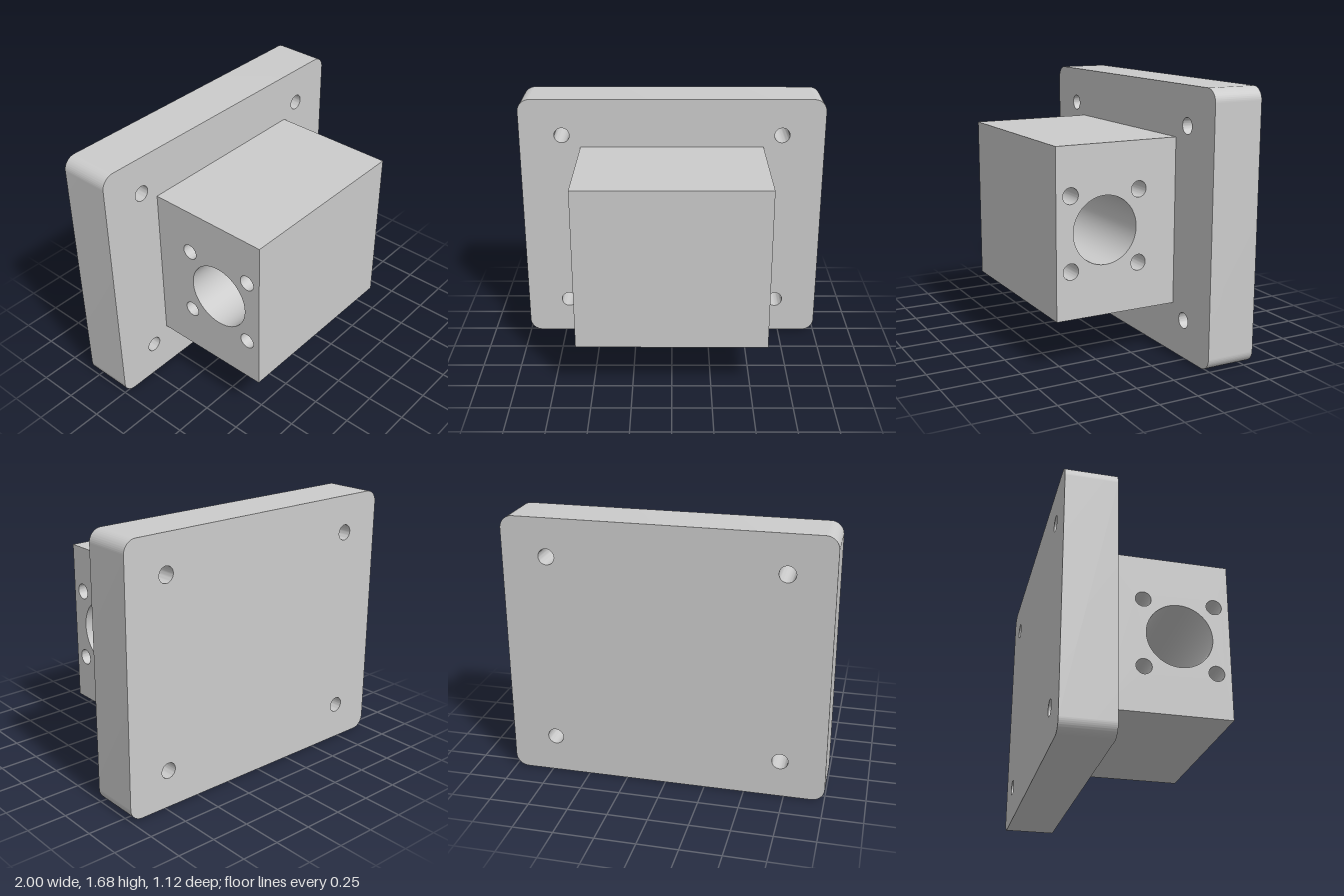
import * as THREE from 'three';
import { toCreasedNormals } from 'three/addons/utils/BufferGeometryUtils.js';

const material = new THREE.MeshStandardMaterial({ color: 0xcccccc });

// Rectangle outline with optional rounded corners
function rectangle(x0, y0, x1, y1, r = 0) {
  const s = new THREE.Shape();
  if (r === 0) {
    s.moveTo(x0, y0).lineTo(x1, y0).lineTo(x1, y1).lineTo(x0, y1).closePath();
    return s;
  }
  s.moveTo(x0 + r, y0);
  s.absarc(x1 - r, y0 + r, r, -Math.PI / 2, 0);
  s.absarc(x1 - r, y1 - r, r, 0, Math.PI / 2);
  s.absarc(x0 + r, y1 - r, r, Math.PI / 2, Math.PI);
  s.absarc(x0 + r, y0 + r, r, Math.PI, Math.PI * 1.5);
  return s;
}

function addHole(shape, x, y, r) {
  shape.holes.push(new THREE.Path().absarc(x, y, r, 0, Math.PI * 2, true));
}

// Four holes mirrored about a centre
function addFourHoles(shape, cx, cy, dx, dy, r) {
  for (const sx of [-1, 1]) {
    for (const sy of [-1, 1]) addHole(shape, cx + sx * dx, cy + sy * dy, r);
  }
}

function extrude(shape, depth) {
  const geometry = new THREE.ExtrudeGeometry(shape, { depth, bevelEnabled: false, curveSegments: 24 });
  return toCreasedNormals(geometry, Math.PI / 6);
}

export function createModel() {
  const group = new THREE.Group();
  group.name = 'mountingBracket';

  // Back plate with rounded corners and four screw holes
  const plateShape = rectangle(-1, 0, 1, 1.68, 0.08);
  addFourHoles(plateShape, 0, 0.84, 0.72, 0.6, 0.05);
  const plate = new THREE.Mesh(extrude(plateShape, 0.32), material);
  plate.name = 'mountingPlate';
  plate.position.z = -0.56;
  group.add(plate);

  // Block bored from side to side; its profile is drawn with x as -z
  const blockShape = rectangle(-0.56, 0.32, 0.24, 1.36);
  addHole(blockShape, -0.24, 0.84, 0.21);
  addFourHoles(blockShape, -0.24, 0.84, 0.226, 0.226, 0.05);
  const block = new THREE.Mesh(extrude(blockShape, 1.2), material);
  block.name = 'boredBlock';
  block.rotation.y = Math.PI / 2;
  block.position.x = -0.6;
  group.add(block);

  return group;
}
